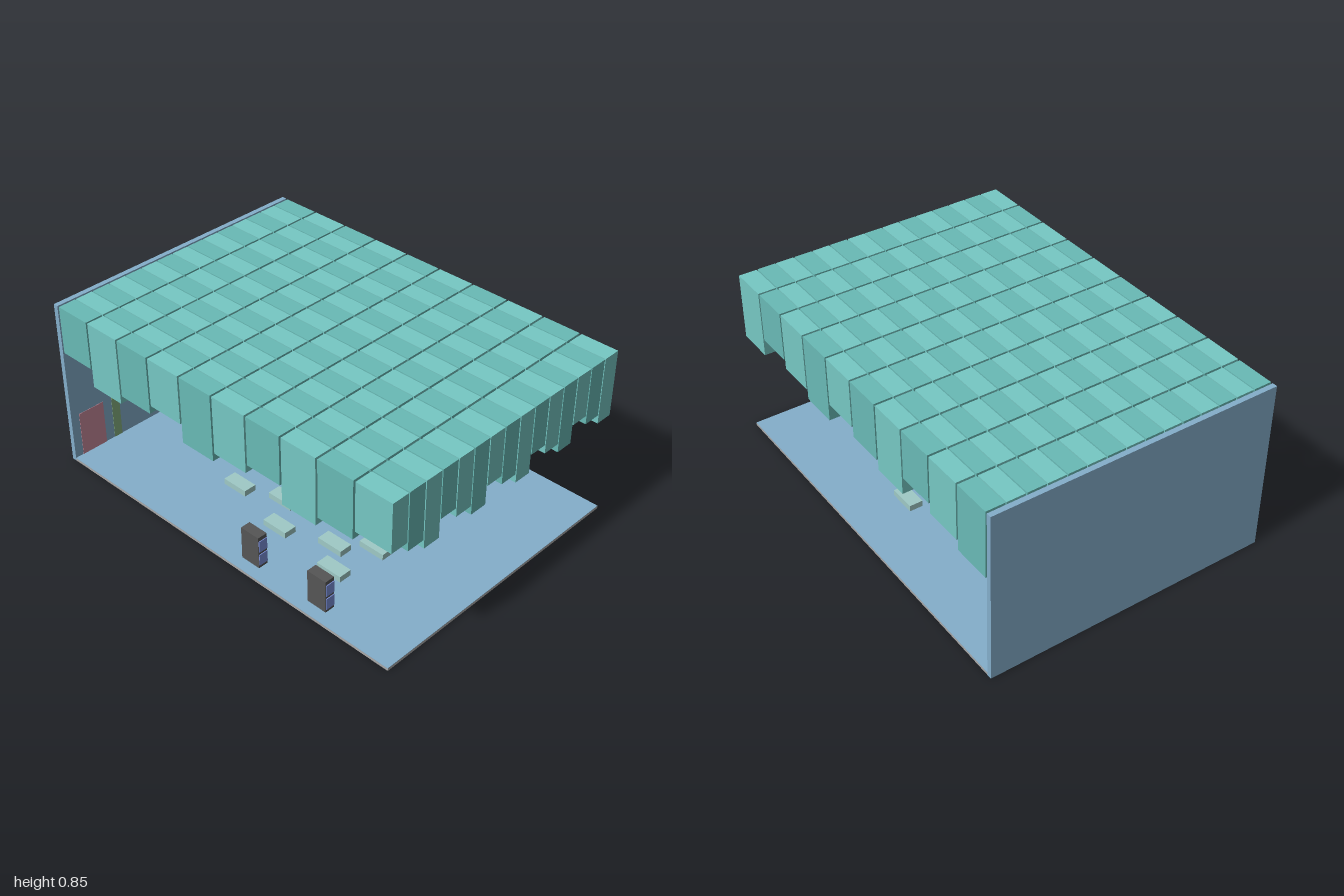
import * as THREE from 'three';

const mat = (color) => new THREE.MeshStandardMaterial({ color });

// Box given by its min and max on each axis
function addBox(parent, name, material, [x0, x1], [y0, y1], [z0, z1]) {
  const mesh = new THREE.Mesh(new THREE.BoxGeometry(x1 - x0, y1 - y0, z1 - z0), material);
  mesh.position.set((x0 + x1) / 2, (y0 + y1) / 2, (z0 + z1) / 2);
  mesh.name = name;
  parent.add(mesh);
  return mesh;
}

function addGroup(parent, name) {
  const group = new THREE.Group();
  group.name = name;
  parent.add(group);
  return group;
}

export function createModel() {
  const model = new THREE.Group();
  model.name = 'hall';
  const HALF = 0.705, TOP = 0.85, FLOOR = 0.015;

  const blue = mat(0x84aecb), grey = mat(0xaaaaaa), dark = mat(0x555555);
  const teal = [mat(0x76c8c4), mat(0x69bab6)];
  const benchMat = mat(0x9fcac6), screenMat = mat(0x7b8fd8);
  const pink = mat(0xc78a9b), green = mat(0x86b081);

  // Floor slab with a blue covering, and the back wall
  addBox(model, 'floorSlab', grey, [-HALF, HALF], [0, FLOOR - 0.002], [-0.975, 1]);
  addBox(model, 'floorCovering', blue, [-HALF, HALF], [FLOOR - 0.002, FLOOR], [-0.975, 1]);
  addBox(model, 'backWall', blue, [-HALF, HALF], [0, TOP], [-1, -0.975]);

  // Coloured panels lying flat on the wall
  const panels = addGroup(model, 'wallPanels');
  [
    [pink, -0.66, -0.52, 0.245], [pink, 0.515, 0.655, 0.215],
    [green, -0.47, -0.425, 0.365], [green, 0.4, 0.445, 0.335],
  ].forEach(([m, x0, x1, y1]) =>
    addBox(panels, 'wallPanel', m, [x0, x1], [FLOOR, y1], [-0.975, -0.973]));

  // Ceiling of hanging blocks, their depth stepping diagonally in threes
  const ceiling = addGroup(model, 'ceilingBlocks');
  const bottoms = [0.61, 0.565, 0.52];
  const stepX = 0.0943, stepZ = 0.1975, width = 0.0885, length = 0.187;
  for (let row = 0; row < 10; row++) {
    for (let col = 0; col < 15; col++) {
      const x = -HALF + col * stepX, z = 1 - row * stepZ;
      addBox(ceiling, 'ceilingBlock', teal[(row + col) % 2],
        [x, x + width], [bottoms[(row + col) % 3], TOP], [z - length, z]);
    }
  }

  // Low benches in three staggered rows: [x, z] of each centre
  const benches = addGroup(model, 'benches');
  [
    [-0.44, 0.45], [-0.32, 0.34], [-0.21, 0.485], [-0.06, 0.4], [0.05, 0.47], [0.18, 0.375], [0.318, 0.475],
    [-0.4, 0.08], [-0.25, -0.04], [-0.11, 0.07], [0.03, -0.05], [0.17, -0.01], [0.27, 0.04], [0.408, 0.09],
    [-0.32, -0.26], [-0.07, -0.29], [0.1, -0.33], [0.245, -0.255],
  ].forEach(([x, z]) =>
    addBox(benches, 'bench', benchMat, [x - 0.033, x + 0.033], [FLOOR, 0.045], [z - 0.068, z + 0.068]));

  // Two upright cabinets with blue windows in front and small feet
  for (const z of [0.605, 0.21]) {
    const cabinet = addGroup(model, 'cabinet');
    addBox(cabinet, 'cabinetBody', dark, [-0.65, -0.6], [FLOOR + 0.004, 0.185], [z - 0.105, z]);
    for (const [y0, y1] of [[0.035, 0.093], [0.107, 0.165]])
      addBox(cabinet, 'cabinetWindow', screenMat, [-0.648, -0.602], [y0, y1], [z, z + 0.004]);
    for (const x of [-0.645, -0.611])
      for (const dz of [0.1, 0.011])
        addBox(cabinet, 'cabinetFoot', dark, [x, x + 0.006], [0, FLOOR + 0.004], [z - dz, z - dz + 0.006]);
  }
  return model;
}
